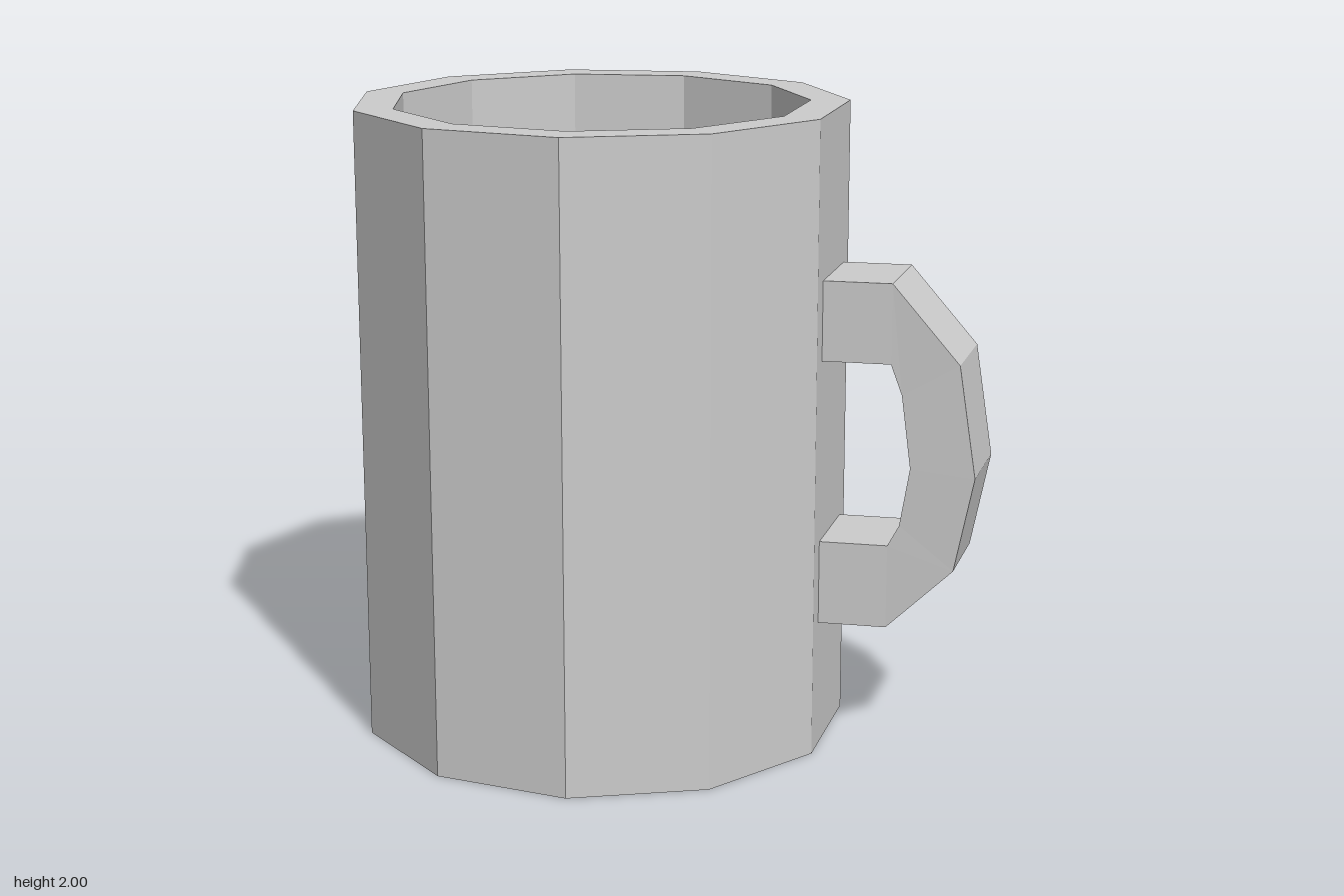
import * as THREE from 'three';

const SIDES = 11;

// Hollow eleven-sided cup, turned from one closed profile
function makeCup(material) {
  const outer = 0.776, inner = 0.653, floor = 0.12, height = 2;
  const profile = [
    [0, 0], [outer, 0], [outer, height], [inner, height], [inner, floor], [0, floor],
  ].map(([r, y]) => new THREE.Vector2(r, y));
  const geometry = new THREE.LatheGeometry(profile, SIDES, Math.PI);
  const cup = new THREE.Mesh(geometry, material);
  cup.name = 'cup';
  cup.position.set(-0.23, 0, 0.013);
  return cup;
}

// Faceted handle: square sections swept from the upper root to the lower root
function makeHandle(material) {
  // outer x, y, z then inner x, y, z of the front edge
  const sections = [
    [0.51, 1.5, 0.056, 0.51, 1.25, 0.056],
    [0.735, 1.5, 0.01, 0.735, 1.25, 0.01],
    [0.945, 1.26, -0.018, 0.77, 1.155, 0.004],
    [1.0, 0.91, -0.023, 0.8, 0.926, 0],
    [0.94, 0.61, -0.018, 0.77, 0.742, 0.004],
    [0.735, 0.41, 0.01, 0.735, 0.675, 0.01],
    [0.51, 0.41, 0.056, 0.51, 0.675, 0.056],
  ];
  const across = [-0.041, 0, -0.302]; // front edge to back edge
  const rings = sections.map((s) => {
    const out = s.slice(0, 3), inn = s.slice(3);
    const back = (p) => p.map((v, i) => v + across[i]);
    return [out, inn, back(inn), back(out)];
  });

  const positions = [];
  const quad = (a, b, c, d) => positions.push(...a, ...b, ...c, ...a, ...c, ...d);
  for (let i = 0; i < rings.length - 1; i++) {
    for (let k = 0; k < 4; k++) {
      const n = (k + 1) % 4;
      quad(rings[i][k], rings[i][n], rings[i + 1][n], rings[i + 1][k]);
    }
  }
  const geometry = new THREE.BufferGeometry();
  geometry.setAttribute('position', new THREE.Float32BufferAttribute(positions, 3));
  geometry.computeVertexNormals();
  const handle = new THREE.Mesh(geometry, material);
  handle.name = 'handle';
  return handle;
}

export function createModel() {
  const material = new THREE.MeshStandardMaterial({ color: 0xcccccc, flatShading: true });
  const mug = new THREE.Group();
  mug.name = 'mug';
  mug.add(makeCup(material), makeHandle(material));
  return mug;
}
